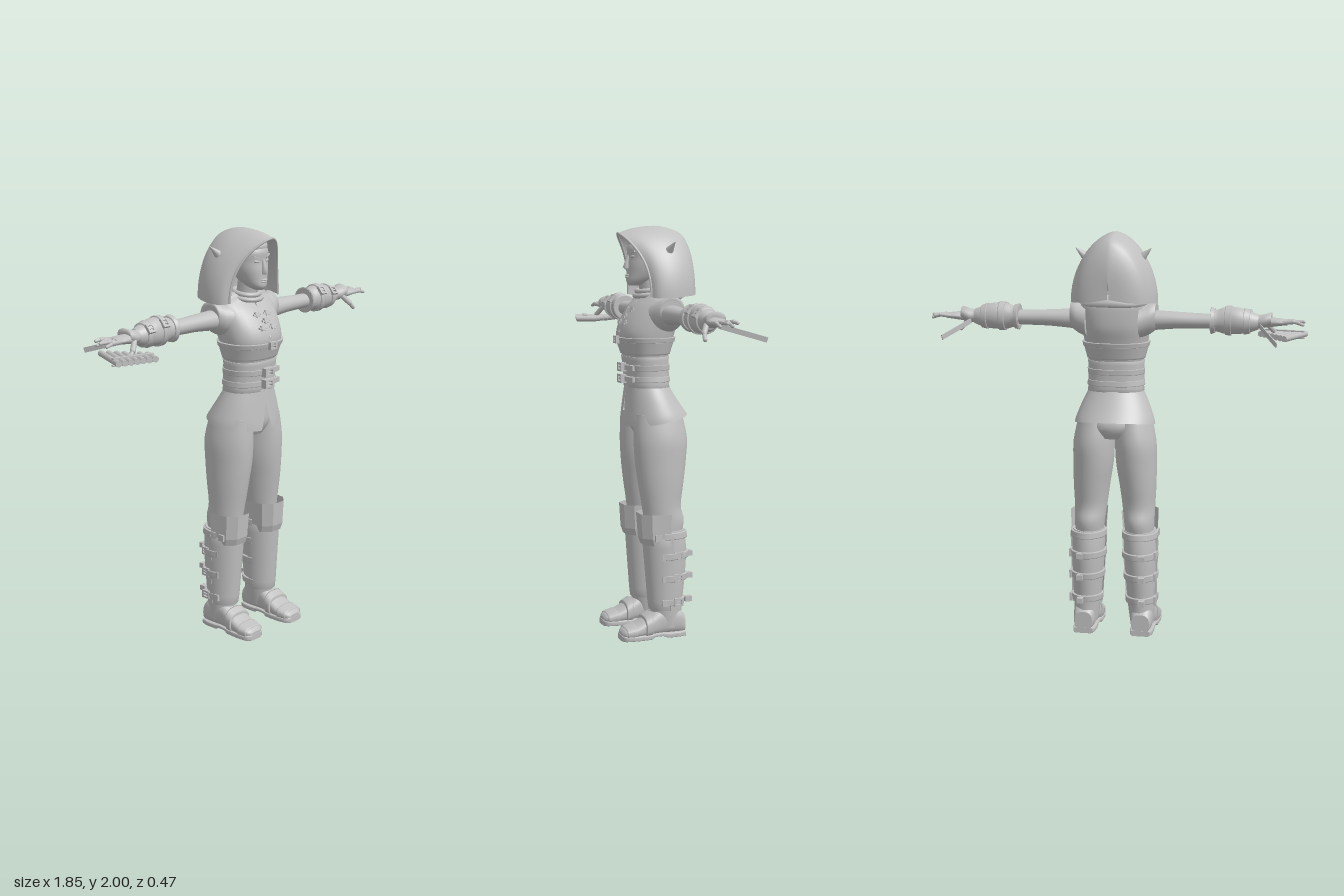
import * as THREE from 'three';

const grey = new THREE.MeshStandardMaterial({ color: 0xc0c0c0, side: THREE.DoubleSide });
grey.name = 'plain grey';

const V = (x, y, z) => new THREE.Vector3(x, y, z);

function add(parent, name, geo, pos = [0, 0, 0], rot = [0, 0, 0], scale = [1, 1, 1]) {
  const m = new THREE.Mesh(geo, grey);
  m.name = name;
  m.position.set(...pos);
  m.rotation.set(...rot);
  m.scale.set(...scale);
  parent.add(m);
  return m;
}

// Catmull-Rom subdivision of rows of numbers
function smooth(rows, k = 4) {
  const out = [], last = rows.length - 1;
  for (let i = 0; i < last; i++) {
    const [a, b, c, d] = [i - 1, i, i + 1, i + 2].map(q => rows[Math.min(last, Math.max(0, q))]);
    for (let s = 0; s < k; s++) {
      const t = s / k;
      out.push(b.map((v, n) => v + 0.5 * t * (c[n] - a[n] + t * (2 * a[n] - 5 * v + 4 * c[n] - d[n] + t * (3 * (v - c[n]) + d[n] - a[n])))));
    }
  }
  out.push(rows[last]);
  return out;
}

// Grid of points to a surface, optionally closed around
function surface(rows, closed, caps) {
  const n = rows[0].length, pos = rows.flat(2), idx = [];
  for (let i = 0; i < rows.length - 1; i++) for (let j = 0; j < (closed ? n : n - 1); j++) {
    const a = i * n + j, b = i * n + (j + 1) % n;
    idx.push(a, b, b + n, a, b + n, a + n);
  }
  if (caps) [rows[0], rows[rows.length - 1]].forEach((r, e) => {
    const c = pos.length / 3;
    pos.push(...[0, 1, 2].map(k => r.reduce((s, p) => s + p[k], 0) / n), ...r.flat());
    for (let j = 0; j < n; j++) {
      const a = c + 1 + j, b = c + 1 + (j + 1) % n;
      idx.push(c, ...(e ? [a, b] : [b, a]));
    }
  });
  const g = new THREE.BufferGeometry();
  g.setAttribute('position', new THREE.Float32BufferAttribute(pos, 3));
  g.setIndex(idx);
  g.computeVertexNormals();
  return g;
}

// Rings [y, x0, x1, zBack, zFront]; p is roundness, gap opens the front, arc limits the angles
function loft(rings, { n = 32, p = 2, arc = null } = {}) {
  const open = arc || rings[0].length > 5;
  const pw = v => Math.sign(v) * Math.abs(v) ** (2 / p);
  return surface(rings.map(([y, x0, x1, z0, z1, gap = 0]) => {
    const [a0, a1] = arc || [gap, Math.PI * 2 - gap];
    return Array.from({ length: open ? n + 1 : n }, (_, j) => {
      const a = a0 + (a1 - a0) * j / n;
      return [(x0 + x1) / 2 + (x1 - x0) / 2 * pw(Math.sin(a)), y, (z0 + z1) / 2 + (z1 - z0) / 2 * pw(Math.cos(a))];
    });
  }), !open, !open);
}

// Symmetric ring
const R = (y, w, z0, z1) => [y, -w, w, z0, z1];

// Strap that follows a body made of rings
function band(rings, y0, y1, grow, opts) {
  const at = (y, g) => {
    let i = 0;
    while (i < rings.length - 2 && rings[i + 1][0] < y) i++;
    const a = rings[i], b = rings[i + 1], t = (y - a[0]) / (b[0] - a[0]);
    const r = a.map((v, k) => v + (b[k] - v) * t);
    return [y, r[1] - g, r[2] + g, r[3] - g, r[4] + g];
  };
  const m = (y1 - y0) * 0.12;
  return loft([at(y0, 0), at(y0 + 0.0005, grow), at(y0 + m, grow), at(y1 - m, grow), at(y1 - 0.0005, grow), at(y1, 0)], opts);
}

// Rectangular frame with a prong
function buckle(parent, w, h, d, pos, rot) {
  const rect = (C, a, b) => new C([[-a, -b], [a, -b], [a, b], [-a, b]].map(q => new THREE.Vector2(...q)));
  const s = rect(THREE.Shape, w / 2, h / 2);
  s.holes.push(rect(THREE.Path, w * 0.3, h * 0.28));
  const g = new THREE.Group();
  g.name = 'buckle';
  add(g, 'buckleFrame', new THREE.ExtrudeGeometry(s, { depth: d, bevelEnabled: false }));
  add(g, 'bucklePin', new THREE.BoxGeometry(w * 0.7, h * 0.15, d * 0.6), [0, 0, d * 0.6]);
  g.position.set(...pos);
  if (rot) g.rotation.set(...rot);
  parent.add(g);
}

// Cylinder, capsule or cone laid between two points
function rod(parent, name, a, b, r, kind = 'cylinder', r2 = r) {
  const l = a.distanceTo(b);
  const geo = kind === 'capsule' ? new THREE.CapsuleGeometry(r, l, 5, 10) : new THREE.CylinderGeometry(r2, r, l, 14);
  const m = add(parent, name, geo, a.clone().add(b).multiplyScalar(0.5).toArray());
  m.quaternion.setFromUnitVectors(V(0, 1, 0), b.clone().sub(a).normalize());
  return m;
}

function mirror(group, name) {
  const out = new THREE.Group();
  out.name = name;
  group.updateMatrixWorld(true);
  group.traverse(o => {
    if (!o.isMesh) return;
    const g = o.geometry.clone().applyMatrix4(o.matrixWorld).scale(-1, 1, 1);
    const ix = g.index ? Array.from(g.index.array) : Array.from({ length: g.attributes.position.count }, (_, i) => i);
    for (let i = 0; i < ix.length; i += 3) [ix[i + 1], ix[i + 2]] = [ix[i + 2], ix[i + 1]];
    g.setIndex(ix);
    add(out, o.name, g);
  });
  return out;
}

function leg(side) {
  add(side, 'trouserLeg', loft(smooth([[0.48, 0.06, 0.195, -0.08, 0.09], [0.57, 0.05, 0.2, -0.1, 0.1], [0.65, 0.04, 0.202, -0.085, 0.11], [0.76, 0.025, 0.207, -0.1, 0.127],
    [0.87, 0.008, 0.208, -0.115, 0.14], [0.98, 0.003, 0.205, -0.122, 0.145], [1.1, 0.005, 0.18, -0.1, 0.14]])));
  const boot = smooth([[0.05, 0.085, 0.2, -0.085, 0.06], [0.15, 0.07, 0.205, -0.085, 0.075], [0.28, 0.06, 0.21, -0.1, 0.09], [0.42, 0.05, 0.213, -0.11, 0.1], [0.53, 0.05, 0.21, -0.1, 0.1]]);
  add(side, 'bootShaft', loft(boot));
  add(side, 'shinGuard', band(boot, 0.14, 0.5, 0.008, { arc: [-1.6, 1.6] }));
  for (const y of [0.18, 0.3, 0.41, 0.51]) {
    add(side, 'bootStrap', band(boot, y - 0.016, y + 0.016, 0.01, { arc: [1.3, 5] }));
    if (y > 0.5) continue;
    buckle(side, 0.045, 0.04, 0.012, [0.207, y, -0.045], [0, Math.PI / 2, 0]);
    add(side, 'strapStud', new THREE.BoxGeometry(0.015, 0.032, 0.032), [0.21, y, 0.022]);
    add(side, 'strapEnd', new THREE.BoxGeometry(0.03, 0.026, 0.035), [0.155, y, -0.115]);
  }
  add(side, 'bootSeam', new THREE.BoxGeometry(0.016, 0.37, 0.014), [0.21, 0.325, -0.01], [0, 0, -0.02]);
  // Faceted knee guard
  const pad = loft([[0.465, 0.05, 0.212, -0.12, 0.118], [0.5, 0.045, 0.218, -0.12, 0.13], [0.62, 0.036, 0.222, -0.13, 0.138]], { n: 5, p: 2.6, arc: [-1.6, 1.6] }).toNonIndexed();
  pad.computeVertexNormals();
  add(side, 'kneeGuard', pad);
  add(side, 'kneeStud', new THREE.BoxGeometry(0.012, 0.032, 0.032), [0.212, 0.505, 0.06]);
  // Foot, lofted from heel to toe
  const foot = smooth([[-0.09, 0.1, 0.19, -0.11, -0.015], [-0.05, 0.09, 0.2, -0.15, -0.012], [0.03, 0.09, 0.2, -0.15, -0.012], [0.09, 0.084, 0.206, -0.115, -0.012],
    [0.16, 0.082, 0.21, -0.075, -0.012], [0.215, 0.092, 0.203, -0.058, -0.014], [0.232, 0.115, 0.18, -0.04, -0.02]], 3);
  const f = Math.PI / 2;
  add(side, 'shoe', loft(foot, { p: 2.6 }), [0, 0, 0], [f, 0, 0]);
  add(side, 'shoeStrap', band(foot, 0.085, 0.12, 0.009, { p: 2.6 }), [0, 0.004, 0], [f, 0, 0]);
  add(side, 'toeCap', band(foot, 0.165, 0.215, 0.004, { p: 2.6 }), [0, 0, 0], [f, 0, 0]);
  add(side, 'sole', loft(foot.map(([z, a, b]) => [z * 1.012, a - 0.003, b + 0.003, z < 0.01 || z > 0.07 ? -0.028 : -0.03, z < 0.01 || z > 0.07 ? 0 : -0.012]), { p: 6 }), [0, 0, 0], [f, 0, 0]);
}

function arm(side) {
  const r = [0, 0, -Math.PI / 2];
  // Arm rings are [x, -yTop, -yBottom, zBack, zFront]
  add(side, 'shoulderCap', loft([[0.13, -1.655, -1.49, -0.1, 0.1], [0.175, -1.66, -1.51, -0.085, 0.07], [0.208, -1.668, -1.535, -0.075, 0.055], [0.205, -1.65, -1.55, -0.06, 0.04]]), [0, 0, 0], r);
  add(side, 'sleeve', loft(smooth([[0.14, -1.63, -1.525, -0.062, 0.05], [0.3, -1.622, -1.54, -0.058, 0.038], [0.4, -1.617, -1.543, -0.053, 0.033], [0.5, -1.615, -1.545, -0.05, 0.03]])), [0, 0, 0], r);
  const cuff = smooth([[0.47, -1.642, -1.523, -0.066, 0.05], [0.5, -1.635, -1.53, -0.06, 0.042], [0.54, -1.648, -1.52, -0.062, 0.047], [0.6, -1.648, -1.52, -0.065, 0.05], [0.66, -1.63, -1.53, -0.055, 0.042], [0.7, -1.615, -1.545, -0.04, 0.03]]);
  add(side, 'bracer', loft(cuff), [0, 0, 0], r);
  add(side, 'bracerCuff', band(cuff, 0.472, 0.492, 0.006), [0, 0, 0], r);
  for (const x of [0.555, 0.645]) {
    add(side, 'bracerStrap', band(cuff, x - 0.015, x + 0.015, 0.006), [0, 0, 0], r);
    buckle(side, 0.04, 0.045, 0.014, [x, x < 0.6 ? 1.622 : 1.61, 0.035], [-0.7, 0, 0]);
  }
  add(side, 'gloveFlare', loft([[0.69, -1.612, -1.55, -0.04, 0.032], [0.72, -1.615, -1.55, -0.045, 0.04], [0.76, -1.628, -1.565, -0.052, 0.045], [0.757, -1.605, -1.565, -0.03, 0.03]]), [0, 0, 0], r);
  add(side, 'palm', loft(smooth([[0.68, -1.605, -1.555, -0.03, 0.025], [0.74, -1.602, -1.555, -0.035, 0.035], [0.79, -1.6, -1.562, -0.048, 0.045], [0.835, -1.594, -1.568, -0.047, 0.042]], 3)), [0, 0, 0], r);
  [[-0.038, 0.89, -0.052], [-0.014, 0.908, -0.022], [0.01, 0.912, 0.004], [0.034, 0.902, 0.035]].forEach(([z, x, zt], i) => {
    const knuckle = V(0.865, 1.588 - i * 0.002, (z + zt) / 2);
    rod(side, 'finger', V(0.82, 1.582, z), knuckle, 0.0105, 'capsule');
    rod(side, 'fingertip', knuckle, V(x, 1.584 - (i % 2) * 0.012, zt), 0.008, 'capsule');
  });
  rod(side, 'thumb', V(0.735, 1.57, 0.03), V(0.765, 1.535, 0.052), 0.013, 'capsule');
  rod(side, 'thumbTip', V(0.765, 1.535, 0.052), V(0.79, 1.508, 0.058), 0.01, 'capsule');
  // Loose ribbon trailing behind the wrist
  const a = V(0.71, 1.56, -0.04), b = V(0.8, 1.5, -0.235);
  add(side, 'ribbon', new THREE.BoxGeometry(0.005, 0.024, a.distanceTo(b)), a.clone().add(b).multiplyScalar(0.5).toArray()).lookAt(b);
}

function body(model) {
  add(model, 'pelvis', loft(smooth([R(1.0, 0.09, -0.09, 0.11), R(1.06, 0.16, -0.115, 0.14), R(1.14, 0.15, -0.085, 0.14), R(1.24, 0.125, -0.05, 0.135)])));
  const torso = smooth([R(1.2, 0.138, -0.055, 0.142), R(1.29, 0.125, -0.045, 0.145), R(1.37, 0.133, -0.05, 0.155), R(1.43, 0.148, -0.068, 0.175), R(1.48, 0.158, -0.082, 0.187),
    R(1.54, 0.165, -0.098, 0.17), R(1.61, 0.17, -0.1, 0.125), R(1.655, 0.165, -0.095, 0.08), R(1.68, 0.11, -0.08, 0.06)]);
  add(model, 'vest', loft(torso, { p: 2.3 }));
  for (const [name, y0, y1, g] of [['vestHem', 1.385, 1.45, 0.007], ['chestStrap', 1.445, 1.468, 0.011], ['corset', 1.225, 1.375, 0.007], ['upperBelt', 1.308, 1.336, 0.014], ['lowerBelt', 1.253, 1.28, 0.014]])
    add(model, name, band(torso, y0, y1, g, { p: 2.3 }));
  buckle(model, 0.045, 0.036, 0.02, [0, 1.456, 0.19]);
  for (const y of [1.322, 1.266]) {
    buckle(model, 0.06, 0.042, 0.028, [0, y, 0.158]);
    add(model, 'beltTail', new THREE.BoxGeometry(0.07, 0.024, 0.012), [0.07, y, 0.156], [0, 0.25, 0]);
  }
  // Front fastening and clasps
  rod(model, 'frontSeam', V(0, 1.49, 0.187), V(0, 1.66, 0.085), 0.005);
  for (const [x, y, z] of [[-0.035, 1.6, 0.13], [0.035, 1.6, 0.13], [0, 1.57, 0.155], [-0.035, 1.54, 0.168], [0.035, 1.54, 0.168]]) {
    add(model, 'clasp', new THREE.BoxGeometry(0.026, 0.026, 0.014), [x, y, z], [-0.45, 0, 0]);
    add(model, 'claspBar', new THREE.BoxGeometry(0.05, 0.009, 0.01), [x, y, z], [-0.45, 0, 0]);
  }
  // Flared tails, split in front, lower at the front than the back
  const skirt = loft(smooth([[1.235, -0.133, 0.133, -0.055, 0.15, 0.005], [1.17, -0.165, 0.165, -0.09, 0.158, 0.02], [1.1, -0.192, 0.192, -0.13, 0.167, 0.12], [1.065, -0.2, 0.2, -0.15, 0.17, 0.19]].reverse()), { n: 48 });
  const p = skirt.attributes.position;
  for (let i = 0; i < p.count; i++) p.setY(i, p.getY(i) - p.getZ(i) * (1.235 - p.getY(i)));
  skirt.computeVertexNormals();
  add(model, 'coatTails', skirt);
}

function head(model) {
  rod(model, 'neck', V(0, 1.64, 0.02), V(0, 1.78, 0.045), 0.048);
  for (const [y, r] of [[1.675, 0.072], [1.695, 0.062]]) add(model, 'collar', new THREE.TorusGeometry(r, 0.012, 10, 28), [0, y, 0.03], [Math.PI / 2 + 0.15, 0, 0]);
  add(model, 'head', loft(smooth([R(1.715, 0.02, 0.08, 0.132), R(1.735, 0.045, 0.03, 0.146), R(1.77, 0.066, -0.02, 0.144), R(1.81, 0.08, -0.05, 0.143), R(1.85, 0.086, -0.06, 0.138), R(1.9, 0.085, -0.06, 0.14), R(1.94, 0.06, -0.04, 0.11)]), { p: 2.1 }));
  add(model, 'hair', loft(smooth([R(1.895, 0.094, -0.07, 0.13), R(1.925, 0.09, -0.065, 0.135), R(1.955, 0.06, -0.04, 0.11)])));
  const ball = new THREE.SphereGeometry(1, 16, 10);
  add(model, 'nose', loft([R(1.79, 0.012, 0.12, 0.15), R(1.802, 0.015, 0.12, 0.166), R(1.83, 0.009, 0.12, 0.155), R(1.865, 0.009, 0.12, 0.142)], { n: 12 }));
  add(model, 'upperLip', ball, [0, 1.764, 0.143], [0, 0, 0], [0.023, 0.005, 0.009]);
  add(model, 'lowerLip', ball, [0, 1.755, 0.143], [0, 0, 0], [0.019, 0.006, 0.009]);
  for (const s of [-1, 1]) {
    add(model, 'eye', ball, [s * 0.035, 1.853, 0.128], [0, s * 0.3, s * 0.15], [0.016, 0.007, 0.007]);
    add(model, 'brow', new THREE.BoxGeometry(0.04, 0.007, 0.01), [s * 0.037, 1.874, 0.13], [0, s * 0.35, s * 0.25]);
  }
  // Hood made of arches [zTop, yTop, zBottom, yBottom, halfWidth] from brow to back
  const arches = smooth([[0.19, 1.965, 0.08, 1.665, 0.17], [0.12, 1.988, 0.055, 1.66, 0.2], [0.01, 2, 0, 1.66, 0.212], [-0.08, 1.985, -0.07, 1.665, 0.2], [-0.14, 1.95, -0.14, 1.67, 0.16], [-0.174, 1.86, -0.172, 1.675, 0.09], [-0.182, 1.77, -0.18, 1.69, 0.004]], 3);
  const rows = arches.map(([zt, yt, zb, yb, w]) => Array.from({ length: 41 }, (_, j) => {
    const a = (j / 20 - 1) * Math.PI / 2, h = Math.cos(a);
    return [w * Math.sign(a) * Math.abs(Math.sin(a)) ** 1.25, yb + (yt - yb) * h, zb + (zt - zb) * h ** 2.6];
  }));
  add(model, 'hood', surface(rows, false, false));
  add(model, 'hoodRim', new THREE.TubeGeometry(new THREE.CatmullRomCurve3(rows[0].map(q => V(...q))), 60, 0.006, 8));
  add(model, 'hoodBase', loft([R(1.645, 0.15, -0.11, 0.06), R(1.675, 0.185, -0.15, 0.06), R(1.7, 0.08, -0.08, 0.05)]));
}

// Row of pipes, staggered in length
function panPipes(model) {
  const g = new THREE.Group();
  g.name = 'panPipes';
  const dir = V(0.38, 0, -0.925);
  for (let i = 0; i < 7; i++) {
    const a = V(-0.915 + 0.029 * i, 1.512, 0.125 + 0.008 * i);
    rod(g, 'pipe', a, a.clone().addScaledVector(dir, 0.235 - 0.022 * i), 0.0145);
  }
  for (const y of [1.496, 1.528]) add(g, 'pipeBinding', new THREE.BoxGeometry(0.2, 0.006, 0.02), [-0.815, y, 0.105], [0, -0.27, 0]);
  model.add(g);
}

export function createModel() {
  const model = new THREE.Group();
  model.name = 'hoodedFigure';
  body(model);
  head(model);
  const left = new THREE.Group();
  left.name = 'leftLimbs';
  leg(left);
  arm(left);
  rod(left, 'ear', V(0.12, 1.865, -0.015), V(0.185, 1.925, -0.035), 0.03, 'cone', 0.001);
  model.add(left, mirror(left, 'rightLimbs'));
  panPipes(model);
  return model;
}
